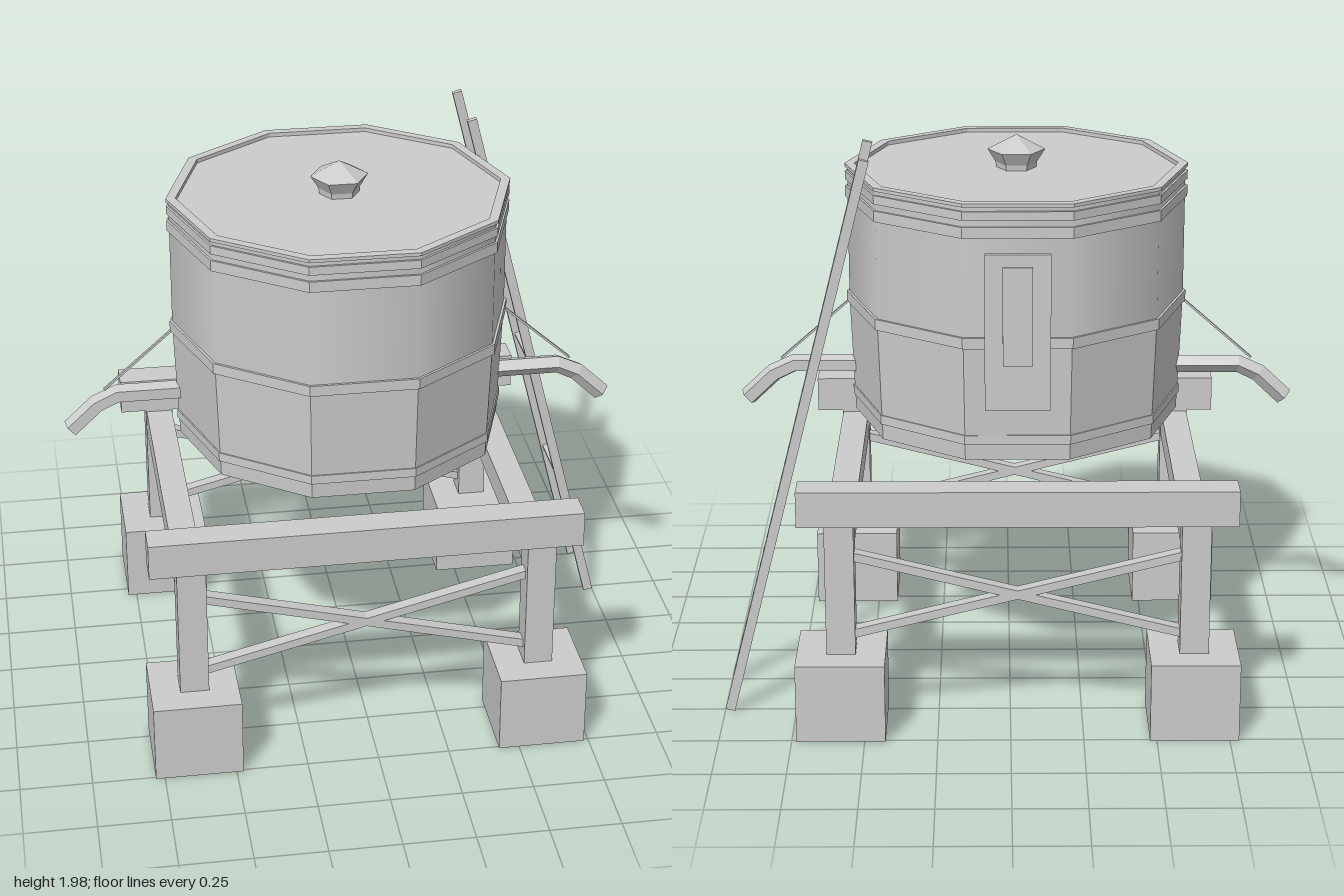
import * as THREE from 'three';

const flat = new THREE.MeshStandardMaterial({ color: 0xcccccc, flatShading: true });
const smooth = new THREE.MeshStandardMaterial({ color: 0xcccccc });
const CX = -0.024; // middle of the tank and stand

function add(parent, name, geometry, material = flat) {
  const mesh = new THREE.Mesh(geometry, material);
  mesh.name = name;
  parent.add(mesh);
  return mesh;
}

function box(parent, name, size, pos) {
  const mesh = add(parent, name, new THREE.BoxGeometry(...size));
  mesh.position.set(...pos);
  return mesh;
}

// Straight bar of rectangular section in a plane of constant z
function bar(parent, name, [x0, y0], [x1, y1], z, thick, depth) {
  const mesh = box(parent, name, [Math.hypot(x1 - x0, y1 - y0), thick, depth],
    [(x0 + x1) / 2, (y0 + y1) / 2, z]);
  mesh.rotation.z = Math.atan2(y1 - y0, x1 - x0);
  return mesh;
}

// Faceted turned part with a corner pointing along +x
function turned(parent, name, profile, sides = 10, material = flat) {
  const pts = profile.map(([r, y]) => new THREE.Vector2(r, y));
  return add(parent, name, new THREE.LatheGeometry(pts, sides, Math.PI / 2), material);
}

// Five-sided pipe: a capped cylinder whose rings are moved onto a path
function bentPipe(path, radius) {
  const n = path.length - 1;
  const geo = new THREE.CylinderGeometry(radius, radius, 1, 5, n);
  const p = geo.attributes.position;
  for (let k = 0; k < p.count; k++) {
    const i = Math.round((p.getY(k) + 0.5) * n);
    const a = path[Math.max(i - 1, 0)], b = path[Math.min(i + 1, n)];
    const len = Math.hypot(b[0] - a[0], b[1] - a[1]);
    const nx = (b[1] - a[1]) / len, ny = -(b[0] - a[0]) / len;
    const s = p.getX(k);
    p.setXYZ(k, path[i][0] + nx * s, path[i][1] + ny * s, p.getZ(k));
  }
  geo.computeVertexNormals();
  return geo;
}

function buildTank() {
  const tank = new THREE.Group();
  tank.name = 'tank';
  turned(tank, 'lowerWall', [[0, 0.948], [0.572, 0.948], [0.588, 1.36]]);
  turned(tank, 'upperWall', [[0.588, 1.36], [0.588, 1.835]], 10, smooth);

  // Hoops: radius, bottom, top
  const hoops = [[0.58, 1.004, 1.036], [0.597, 1.347, 1.385], [0.596, 1.727, 1.765], [0.596, 1.788, 1.818]];
  for (const [r, y0, y1] of hoops) {
    turned(tank, 'hoop', [[r - 0.03, y0], [r, y0], [r, y1], [r - 0.03, y1]]);
  }

  // Lid with raised rim and faceted knob
  turned(tank, 'lid', [[0.57, 1.83], [0.597, 1.833], [0.597, 1.845], [0.563, 1.845], [0.563, 1.831], [0, 1.831]]);
  turned(tank, 'lidKnob', [[0.07, 1.831], [0.072, 1.85], [0.1, 1.895], [0, 1.947]], 6);

  // Spout with its stay wire on each side
  const path = [[0.54, 1.114], [0.79, 1.114], [0.862, 1.08], [0.957, 0.99]];
  for (const turn of [0, Math.PI]) {
    const side = new THREE.Group();
    side.name = 'spoutAssembly';
    side.rotation.y = turn;
    add(side, 'spout', bentPipe(path, 0.034));
    bar(side, 'stayWire', [0.585, 1.355], [0.835, 1.135], 0, 0.007, 0.012);
    tank.add(side);
  }

  // Hatch on the back
  box(tank, 'hatch', [0.22, 0.54, 0.02], [0, 1.412, -0.594]);
  box(tank, 'hatchPanel', [0.1, 0.34, 0.008], [0, 1.47, -0.606]);
  return tank;
}

function buildStand() {
  const stand = new THREE.Group();
  stand.name = 'stand';
  for (const z of [-0.607, 0.607]) {
    for (const x of [-0.605, 0.605]) {
      box(stand, 'footBlock', [0.305, 0.28, 0.305], [x, 0.14, z]);
      box(stand, 'post', [0.1, 0.48, 0.1], [x, 0.515, z]);
    }
    box(stand, 'longBeam', [1.495, 0.126, 0.11], [0, 0.81, z]);
    for (const s of [-1, 1]) {
      bar(stand, 'crossBrace', [-0.57 * s, 0.342], [0.57 * s, 0.63], z, 0.03, 0.045);
    }
  }
  for (const x of [-0.605, 0.605]) {
    box(stand, 'shortBeam', [0.095, 0.095, 1.13], [x, 0.692, 0]);
  }
  return stand;
}

function buildLadder() {
  const ladder = new THREE.Group();
  ladder.name = 'ladder';
  const foot = [0.982, 0.005], top = [0.48, 1.977];
  const zs = [-0.23, -0.507];
  for (const z of zs) bar(ladder, 'ladderRail', foot, top, z, 0.034, 0.02);
  for (const t of [0.25, 0.5, 0.75]) {
    const x = foot[0] + (top[0] - foot[0]) * t, y = foot[1] + (top[1] - foot[1]) * t;
    const rung = box(ladder, 'ladderRung', [0.018, 0.016, zs[0] - zs[1]], [x, y, (zs[0] + zs[1]) / 2]);
    rung.rotation.z = 0.25;
  }
  return ladder;
}

export function createModel() {
  const model = new THREE.Group();
  model.name = 'tankOnStand';
  const tank = buildTank(), stand = buildStand();
  tank.position.x = stand.position.x = CX;
  model.add(tank, stand, buildLadder());
  return model;
}
